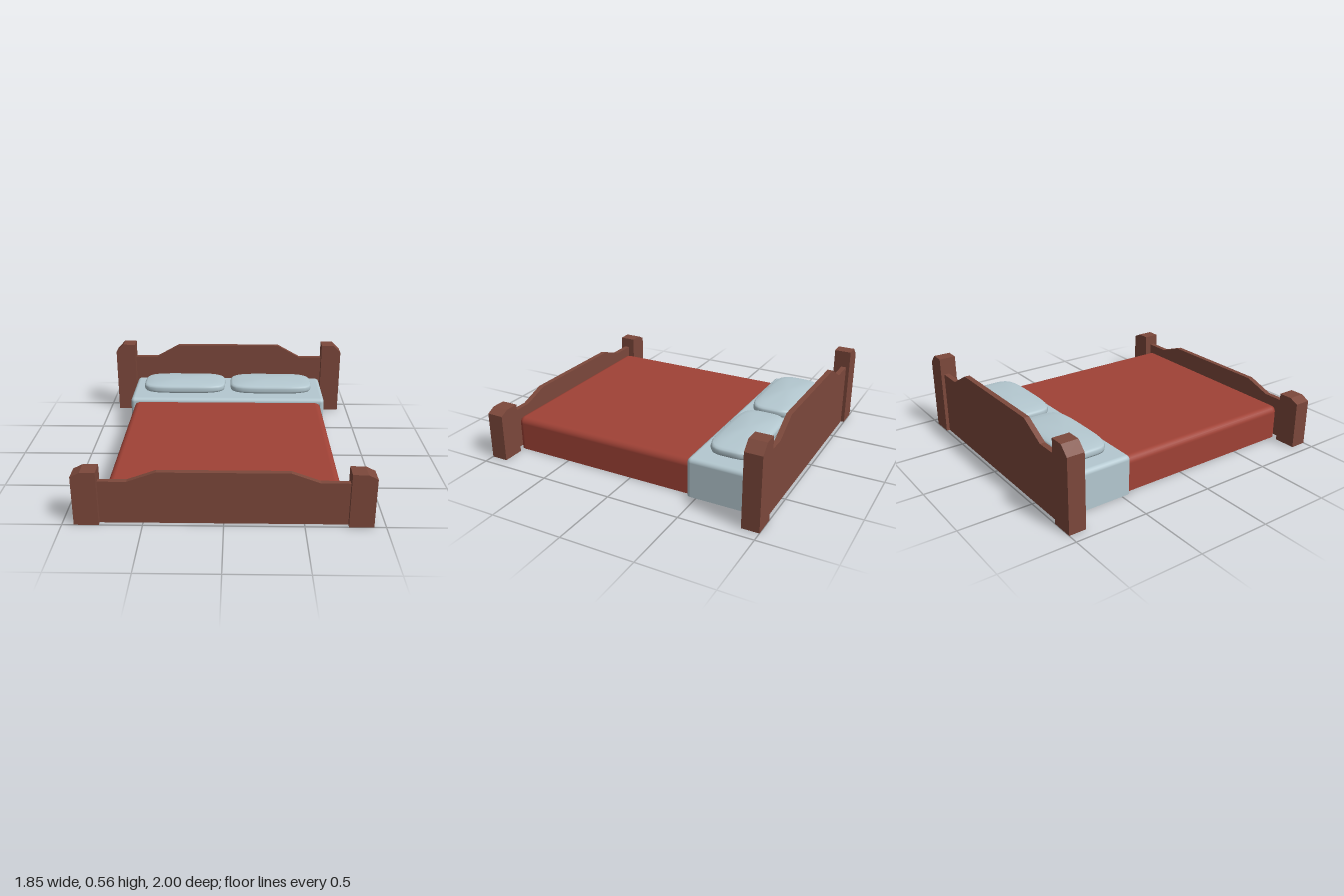
import * as THREE from 'three';
import { mergeVertices } from 'three/addons/utils/BufferGeometryUtils.js';

const wood = new THREE.MeshStandardMaterial({ color: 0x7c483b, side: THREE.DoubleSide });
wood.name = 'brown wood';
const red = new THREE.MeshStandardMaterial({ color: 0xa04236, side: THREE.DoubleSide });
red.name = 'red blanket';
const linen = new THREE.MeshStandardMaterial({ color: 0xb4c8d0, side: THREE.DoubleSide });
linen.name = 'pale blue linen';

function addMesh(parent, name, geometry, material) {
  const mesh = new THREE.Mesh(geometry, material);
  mesh.name = name;
  parent.add(mesh);
  return mesh;
}

// Extrudes a front outline between two depths and leaves it open underneath
function board(points, z0, z1) {
  const shape = new THREE.Shape(points.map(([x, y]) => new THREE.Vector2(x, y)));
  const geo = new THREE.ExtrudeGeometry(shape, { depth: z1 - z0, bevelEnabled: false }).toNonIndexed?.()
    ?? null;
  geo.translate(0, 0, z0);
  const p = geo.attributes.position;
  const keep = [];
  for (let i = 0; i < p.count; i += 3) {
    const atFloor = [0, 1, 2].every((k) => p.getY(i + k) < 1e-4);
    if (!atFloor) for (let k = 0; k < 3; k++) keep.push(p.getX(i + k), p.getY(i + k), p.getZ(i + k));
  }
  const out = new THREE.BufferGeometry();
  out.setAttribute('position', new THREE.Float32BufferAttribute(keep, 3));
  out.computeVertexNormals();
  return out;
}

// Rounded corner of a footprint: centre, start and end angle seen from above
function corner(cx, cz, from, base = 0, steps = 6) {
  return Array.from({ length: steps + 1 }, (_, i) => {
    const a = THREE.MathUtils.degToRad(from + (90 * i) / steps);
    return { cx, cz, nx: Math.cos(a), nz: -Math.sin(a), base };
  });
}

// Draped cover, open below: footprint swept up the wall and over a rounded top edge
function cover(outline, height, r, closed) {
  const steps = 6, rows = steps + 2, n = outline.length;
  const pos = [], nor = [], idx = [];
  let zSum = 0;
  for (const { cx, cz, nx, nz, base } of outline) {
    zSum += cz;
    pos.push(cx + nx * r, base, cz + nz * r);
    nor.push(nx, 0, nz);
    for (let j = 0; j <= steps; j++) {
      const t = (j / steps) * Math.PI / 2, c = Math.cos(t), s = Math.sin(t);
      pos.push(cx + nx * r * c, height - r + r * s, cz + nz * r * c);
      nor.push(nx * c, s, nz * c);
    }
  }
  pos.push(0, height, zSum / n);
  nor.push(0, 1, 0);
  for (let i = 0; i < n; i++) {
    const a = i * rows, b = ((i + 1) % n) * rows;
    if (closed || i < n - 1) {
      for (let j = 0; j < rows - 1; j++) idx.push(a + j, b + j, b + j + 1, a + j, b + j + 1, a + j + 1);
    }
    idx.push(a + rows - 1, b + rows - 1, n * rows);
  }
  const geo = new THREE.BufferGeometry();
  geo.setAttribute('position', new THREE.Float32BufferAttribute(pos, 3));
  geo.setAttribute('normal', new THREE.Float32BufferAttribute(nor, 3));
  geo.setIndex(idx);
  return geo;
}

// Pillow: a lathe whose circle is pushed out to a soft rectangle
function pillowGeometry(halfX, halfZ) {
  const profile = [[0, 0], [0.93, 0.002], [0.985, 0.008], [1, 0.02], [1, 0.04], [0.985, 0.05],
    [0.94, 0.058], [0.75, 0.066], [0.4, 0.074], [0, 0.078]];
  const geo = new THREE.LatheGeometry(profile.map(([x, y]) => new THREE.Vector2(x, y)), 40);
  const p = geo.attributes.position;
  const e = 4.2;
  for (let i = 0; i < p.count; i++) {
    const x = p.getX(i), z = p.getZ(i), r = Math.hypot(x, z);
    if (r < 1e-6) continue;
    const k = r / Math.pow(Math.abs(x / r) ** e + Math.abs(z / r) ** e, 1 / e) / r;
    p.setXYZ(i, x * k * halfX, p.getY(i), z * k * halfZ);
  }
  geo.deleteAttribute('uv');
  geo.deleteAttribute('normal');
  const smooth = mergeVertices(geo, 1e-5);
  smooth.computeVertexNormals();
  return smooth;
}

// One end of the bed: a shaped panel between two chamfered posts
function bedEnd(name, d) {
  const end = new THREE.Group();
  end.name = name;
  const half = [[0.775, 0], [0.775, d.low], [0.59, d.low], [0.41, d.high]];
  const panel = [...half, ...half.map(([x, y]) => [-x, y]).reverse()];
  addMesh(end, name + 'Panel', board(panel, d.panelZ - 0.018, d.panelZ + 0.018), wood);
  for (const s of [1, -1]) {
    const post = [[0.77, 0], [0.925, 0], [0.925, d.post - d.drop], [0.865, d.post], [0.77, d.post]]
      .map(([x, y]) => [s * x, y]);
    addMesh(end, s > 0 ? 'leftPost' : 'rightPost', board(post, d.z0, d.z1), wood);
  }
  return end;
}

export function createModel() {
  const bed = new THREE.Group();
  bed.name = 'bed';

  // Wooden ends
  bed.add(bedEnd('headboard', { low: 0.445, high: 0.545, post: 0.565, drop: 0.06, z0: -1, z1: -0.883, panelZ: -0.958 }));
  bed.add(bedEnd('footboard', { low: 0.285, high: 0.35, post: 0.36, drop: 0.03, z0: 0.883, z1: 1, panelZ: 0.95 }));

  // Blanket, open at its head end where it slips under the sheet
  const rb = 0.045, bx = 0.727 - rb, bz = 0.92 - rb, tuck = -0.44;
  const blanket = [
    { cx: -bx, cz: tuck, nx: -1, nz: 0, base: 0 },
    ...corner(-bx, bz, 180), ...corner(bx, bz, 270),
    { cx: bx, cz: tuck, nx: 1, nz: 0, base: 0 },
  ];
  addMesh(bed, 'blanket', cover(blanket, 0.24, rb, false), red);

  // Sheet, with only a short lip on its front edge above the blanket
  const rs = 0.03, sx = 0.757 - rs, front = -0.43 - rs, back = -0.93 + rs;
  const lip = (x) => ({ cx: x, cz: front, nx: 0, nz: 1, base: 0.23 });
  const sheet = [
    ...corner(sx, back, 0), ...corner(-sx, back, 90),
    ...corner(-sx, front, 180), lip(-sx), lip(sx), ...corner(sx, front, 270),
  ];
  addMesh(bed, 'sheet', cover(sheet, 0.27, rs, true), linen);

  // Pillows
  for (const s of [1, -1]) {
    const pillow = addMesh(bed, s > 0 ? 'leftPillow' : 'rightPillow', pillowGeometry(0.322, 0.162), linen);
    pillow.position.set(s * 0.343, 0.283, -0.668);
  }
  return bed;
}
